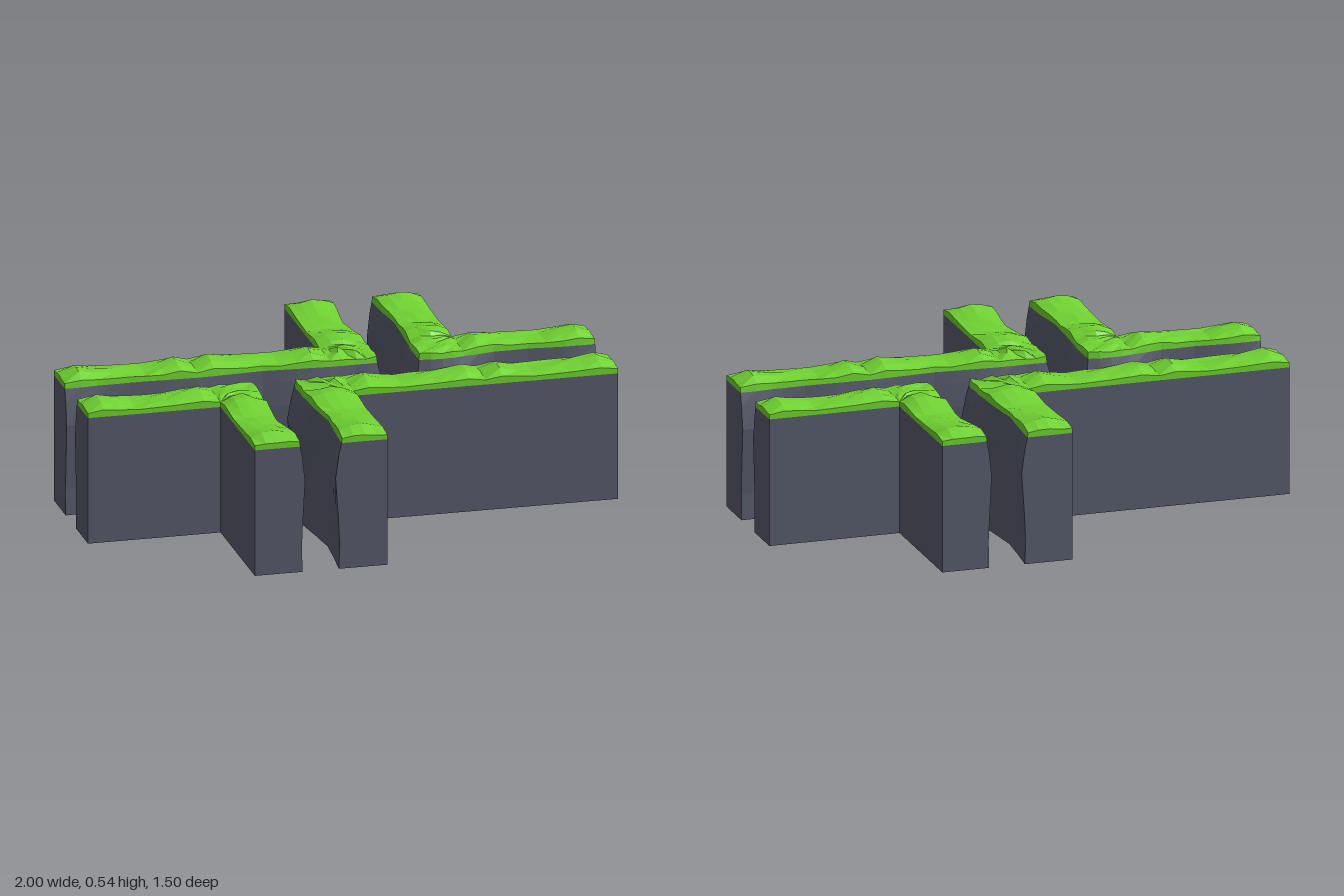
import * as THREE from 'three';

const SEAM = 0.485; // height where rock meets grass
const rock = new THREE.MeshStandardMaterial({ color: 0x575a6b, flatShading: true });
const grass = new THREE.MeshStandardMaterial({ color: 0x70d232, flatShading: true });

// Stations along each L: outer x,z | inner x,z at the grass | inner x,z at the widest rock bulge
const WIDE = [
  [1, .25, 1, .09, 1, .06], [.75, .25, .75, .095, .75, .088], [.5, .25, .5, .088, .5, .07],
  [.25, .25, .25, .1, .25, .094], [0, .25, 0, .085, 0, .06],
  [0, .25, -.1, .085, -.1, .07], [0, .25, -.175, .085, -.2, .062],
  [0, .25, -.175, .17, -.22, .19], [0, .25, -.175, .25, -.2, .25],
  [0, .375, -.17, .375, -.175, .375], [0, .5, -.155, .5, -.165, .5],
  [0, .625, -.165, .625, -.175, .625], [0, .75, -.17, .75, -.195, .75],
];
const NARROW = [
  [-.5, .75, -.33, .75, -.31, .75], [-.5, .625, -.335, .625, -.325, .625],
  [-.5, .5, -.35, .5, -.342, .5], [-.5, .375, -.345, .375, -.335, .375],
  [-.5, .25, -.34, .25, -.315, .25], [-.5, .25, -.335, .18, -.31, .2],
  [-.5, .25, -.335, .08, -.32, .055], [-.5, .25, -.42, .07, -.42, .037],
  [-.5, .25, -.5, .08, -.5, .045], [-.62, .25, -.62, .098, -.62, .085],
  [-.75, .25, -.75, .1, -.75, .094], [-.88, .25, -.88, .088, -.88, .078],
  [-1, .25, -1, .09, -1, .06],
];

// How far the rock wall bulges into the gap: height, share of the full bulge
const WALL = [[0, .5], [.1, .4], [.2, .6], [.35, 1], [.44, .5], [SEAM, .1]];

// Repeating bumps of the grass along half a unit
const BUMPS = [[0, .008], [.06, .035], [.18, .005], [.31, .015], [.44, .035], [.5, .008]];

const hash = (a, b) => {
  const s = Math.sin(a * 127.1 + b * 311.7) * 43758.5453;
  return s - Math.floor(s);
};

function bump(s) {
  const t = ((s % .5) + .5) % .5;
  const i = BUMPS.findIndex(([k]) => k > t);
  const [t0, h0] = BUMPS[i - 1], [t1, h1] = BUMPS[i];
  return h0 + (h1 - h0) * (t - t0) / (t1 - t0);
}

// Grass height; the small corner squares get finer lumps
function grassHeight(x, z, u) {
  const corner = z < .25 && ((x > -.5 && x < -.3) || (x > -.25 && x < 0));
  let h = z > .25 ? bump(z - .25) : bump(x);
  if (corner) h = .008 + .022 * hash(Math.round(x * 40), Math.round(z * 40));
  const ridge = [.35, .8, 1, .85, .4][Math.round(u * 4)];
  const lump = u > 0 ? .006 * (hash(x, z) - .5) : 0;
  return .5 + h * ridge + lump;
}

// Adds in-between stations with a slight wobble on the inner edge
function refine(list, steps) {
  const out = [];
  for (let i = 0; i < list.length - 1; i++) {
    const span = Math.hypot(list[i + 1][2] - list[i][2], list[i + 1][3] - list[i][3]);
    const n = span > .2 ? steps * 2 : steps;
    for (let k = 0; k < n; k++) {
      const s = list[i].map((v, j) => v + (list[i + 1][j] - v) * k / n);
      if (k > 0) {
        const w = .3 * (hash(i, k) - .5);
        const dx = s[4] - s[2], dz = s[5] - s[3];
        s[2] += dx * w; s[3] += dz * w;
      }
      out.push(s);
    }
  }
  out.push(list[list.length - 1]);
  return out;
}

// Skins closed cross-sections and caps both ends
function loft(sections) {
  const pos = [];
  const tri = (a, b, c) => {
    const n = new THREE.Vector3().subVectors(b, a).cross(new THREE.Vector3().subVectors(c, a));
    if (n.lengthSq() > 1e-14) for (const p of [a, b, c]) pos.push(p.x, p.y, p.z);
  };
  const m = sections[0].length;
  for (let i = 0; i < sections.length - 1; i++) {
    for (let j = 0; j < m; j++) {
      const a = sections[i][j], b = sections[i][(j + 1) % m];
      const d = sections[i + 1][j], c = sections[i + 1][(j + 1) % m];
      tri(a, d, c);
      tri(a, c, b);
    }
  }
  const first = sections[0], last = sections[sections.length - 1];
  for (let j = 1; j < m - 1; j++) {
    tri(first[0], first[j], first[j + 1]);
    tri(last[0], last[j + 1], last[j]);
  }
  const g = new THREE.BufferGeometry();
  g.setAttribute('position', new THREE.Float32BufferAttribute(pos, 3));
  g.computeVertexNormals();
  return g;
}

function rockSection([ox, oz, gx, gz, kx, kz]) {
  const pts = [new THREE.Vector3(ox, 0, oz)];
  for (const [y, f] of WALL) pts.push(new THREE.Vector3(gx + (kx - gx) * f, y, gz + (kz - gz) * f));
  pts.push(new THREE.Vector3(ox, SEAM, oz));
  return pts;
}

function grassSection([ox, oz, gx, gz, kx, kz]) {
  const bx = gx + (kx - gx) * .1, bz = gz + (kz - gz) * .1;
  const pts = [new THREE.Vector3(ox, SEAM, oz), new THREE.Vector3(bx, SEAM, bz)];
  for (let k = 4; k >= 0; k--) {
    const u = k / 4, x = ox + (gx - ox) * u, z = oz + (gz - oz) * u;
    pts.push(new THREE.Vector3(x, grassHeight(x, z, u), z));
  }
  return pts;
}

export function createModel() {
  const model = new THREE.Group();
  model.name = 'canyonCrossing';
  for (const [name, list] of [['wideCliff', WIDE], ['narrowCliff', NARROW]]) {
    const stations = refine(list, 2);
    const rockGeo = loft(stations.map(rockSection));
    const grassGeo = loft(stations.map(grassSection));
    // Each cliff repeats, turned half round, on the far side
    for (const side of ['front', 'back']) {
      const cliff = new THREE.Group();
      cliff.name = `${name}_${side}`;
      const wall = new THREE.Mesh(rockGeo, rock);
      wall.name = 'rockWall';
      const top = new THREE.Mesh(grassGeo, grass);
      top.name = 'grassTop';
      cliff.add(wall, top);
      if (side === 'back') cliff.rotation.y = Math.PI;
      model.add(cliff);
    }
  }
  return model;
}
